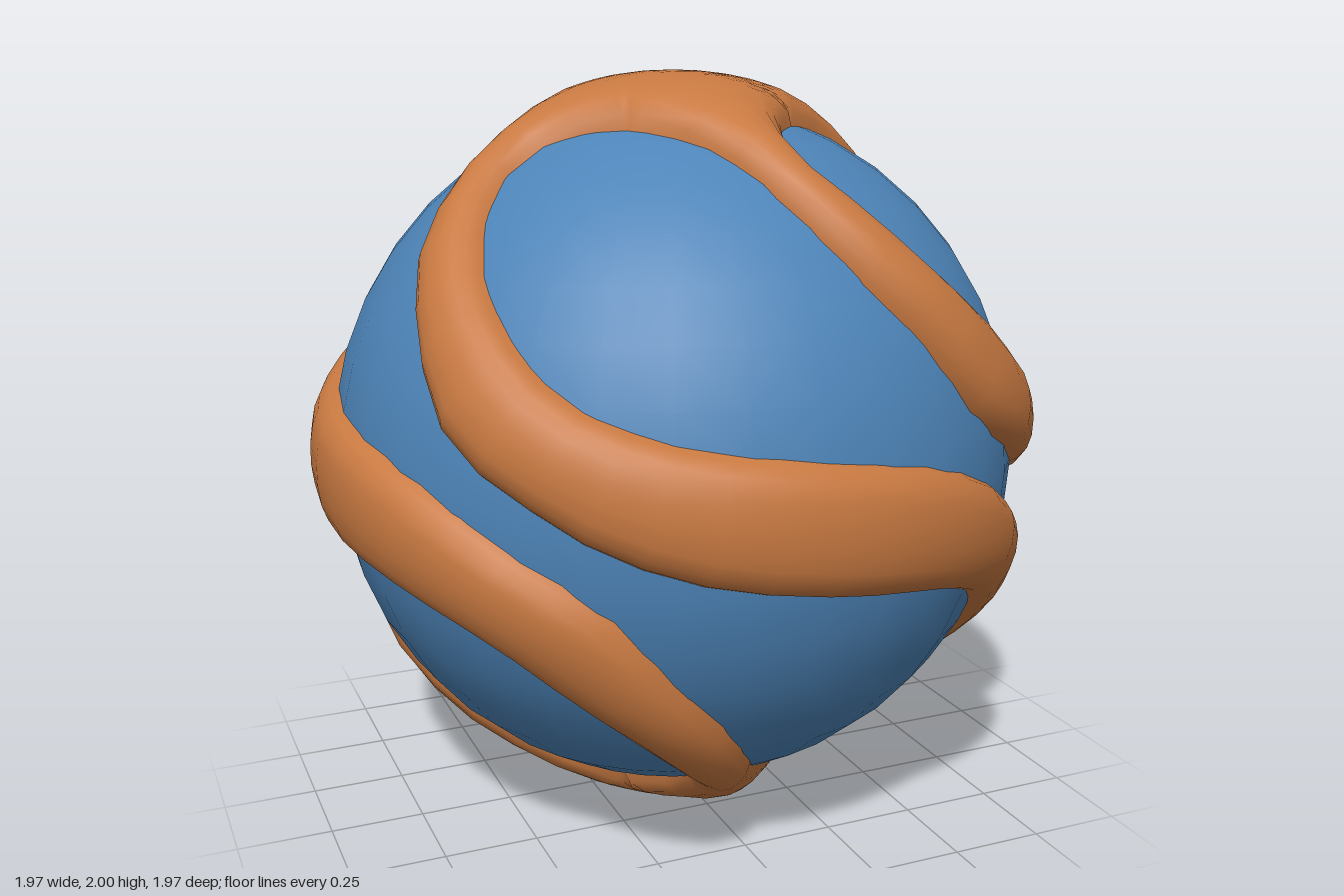
import * as THREE from 'three';
import { mergeGeometries, mergeVertices } from 'three/addons/utils/BufferGeometryUtils.js';

const CORE = 0.922;
const STEPS = 15;
const UP = new THREE.Vector3(0, 1, 0);

// Point on the unit sphere from flat coordinates on its front (+z) or left (+x) face
function onFace(x, y, side) {
  const d = Math.sqrt(Math.max(0, CORE * CORE - x * x - y * y));
  return (side ? new THREE.Vector3(d, y, -x) : new THREE.Vector3(x, y, d)).normalize();
}

// Half turn about z: maps one edge of a band to its other edge
const halfTurn = (p) => new THREE.Vector3(-p.x, -p.y, p.z);

function slerp(a, b, t) {
  const w = a.angleTo(b);
  if (w < 1e-6) return a.clone();
  return a.clone().multiplyScalar(Math.sin((1 - t) * w) / Math.sin(w))
    .addScaledVector(b, Math.sin(t * w) / Math.sin(w));
}

// Upper edge of one S-shaped band, from its top tip to its bottom tip
function bandEdge() {
  const front = [[-0.22, 0.86], [-0.35, 0.84], [-0.47, 0.78], [-0.58, 0.67], [-0.63, 0.55],
    [-0.62, 0.44], [-0.56, 0.33], [-0.47, 0.27], [-0.3, 0.215], [0, 0.17],
    [0.28, 0.12], [0.5, 0.04], [0.65, -0.06]];
  const side = [[-0.5, -0.16], [-0.4, -0.27], [-0.29, -0.4], [-0.17, -0.52], [-0.03, -0.7],
    [0.03, -0.78], [0.1, -0.83], [0.22, -0.86]];
  const pts = [...front.map(([x, y]) => onFace(x, y, false)), ...side.map(([x, y]) => onFace(x, y, true))];
  const dense = new THREE.CatmullRomCurve3(pts, false, 'centripetal').getSpacedPoints(400)
    .map((p) => p.normalize());
  // Split at the middle of the band so both edges bend together
  const mid = dense.findIndex((p) => p.x >= 0 && p.y < 0.4);
  const edge = [];
  for (let i = 0; i <= 2 * STEPS; i++) {
    const k = i <= STEPS ? (mid * i) / STEPS : mid + ((400 - mid) * (i - STEPS)) / STEPS;
    edge.push(dense[Math.round(k)]);
  }
  return edge;
}

// Raised shell: two polar caps joined by four bands, rounded down towards every edge
function shellGeometry() {
  const right = bandEdge();
  const left = right.map(halfTurn).reverse();
  const across = [0, 0.07, 0.16, 0.27, 0.42, 0.58, 0.73, 0.84, 0.93, 1];
  const rows = right.map((r, i) => across.map((u) => slerp(left[i], r, u)));

  // Continue both ends of the band to the poles
  const capSteps = [0, 0.25, 0.5, 0.7, 0.82, 0.92];
  const cap = (pole, row) => capSteps.map((v) => row.map((p) => slerp(pole, p, v)));
  const down = UP.clone().negate();
  const grid = [...cap(UP, rows[0]), ...rows, ...cap(down, rows[rows.length - 1]).reverse()];

  // All edges as short segments, to measure the distance to the nearest one
  const segments = [];
  for (const line of [right, left]) {
    for (let k = 0; k < 4; k++) {
      const turned = line.map((p) => p.clone().applyAxisAngle(UP, (k * Math.PI) / 2));
      for (let i = 1; i < turned.length; i++) segments.push(new THREE.Line3(turned[i - 1], turned[i]));
    }
  }
  const near = new THREE.Vector3();
  const profile = [[0, 0.9], [0.025, 0.945], [0.06, 0.97], [0.11, 0.982], [0.2, 0.986], [9, 0.986]];
  const radius = (p) => {
    let d = 9;
    for (const s of segments) d = Math.min(d, s.closestPointToPoint(p, true, near).distanceTo(p));
    const i = Math.max(1, profile.findIndex((q) => q[0] >= d));
    const [d0, r0] = profile[i - 1], [d1, r1] = profile[i];
    return r0 + ((r1 - r0) * (d - d0)) / (d1 - d0) + 0.014 * Math.abs(p.y) ** 8;
  };

  const n = across.length;
  const positions = [], index = [];
  grid.forEach((row, i) => row.forEach((p, j) => {
    positions.push(...p.clone().multiplyScalar(radius(p)).toArray());
    if (i === grid.length - 1 || j === n - 1) return;
    const a = i * n + j, b = a + n;
    if (i < grid.length - 2) index.push(a, b, b + 1);
    else index.push(a, b, a + 1);
    if (i > 0 && i < grid.length - 2) index.push(a, b + 1, a + 1);
  }));
  const sector = new THREE.BufferGeometry();
  sector.setAttribute('position', new THREE.Float32BufferAttribute(positions, 3));
  sector.setIndex(index);
  const sectors = [0, 1, 2, 3].map((k) => sector.clone().rotateY((k * Math.PI) / 2));
  const shell = mergeVertices(mergeGeometries(sectors), 1e-4);
  shell.computeVertexNormals();
  return shell;
}

export function createModel() {
  const model = new THREE.Group();
  model.name = 'bandedBall';

  const blue = new THREE.MeshStandardMaterial({ color: 0x4d84b8 });
  blue.name = 'blue';
  const orange = new THREE.MeshStandardMaterial({ color: 0xc87941, side: THREE.DoubleSide });
  orange.name = 'orange';

  // Inner ball
  const core = new THREE.Mesh(new THREE.SphereGeometry(CORE, 32, 20), blue);
  core.name = 'innerBall';

  // Swirling outer bands
  const bands = new THREE.Mesh(shellGeometry(), orange);
  bands.name = 'swirlBands';

  for (const part of [core, bands]) {
    part.position.y = 1;
    model.add(part);
  }
  return model;
}
